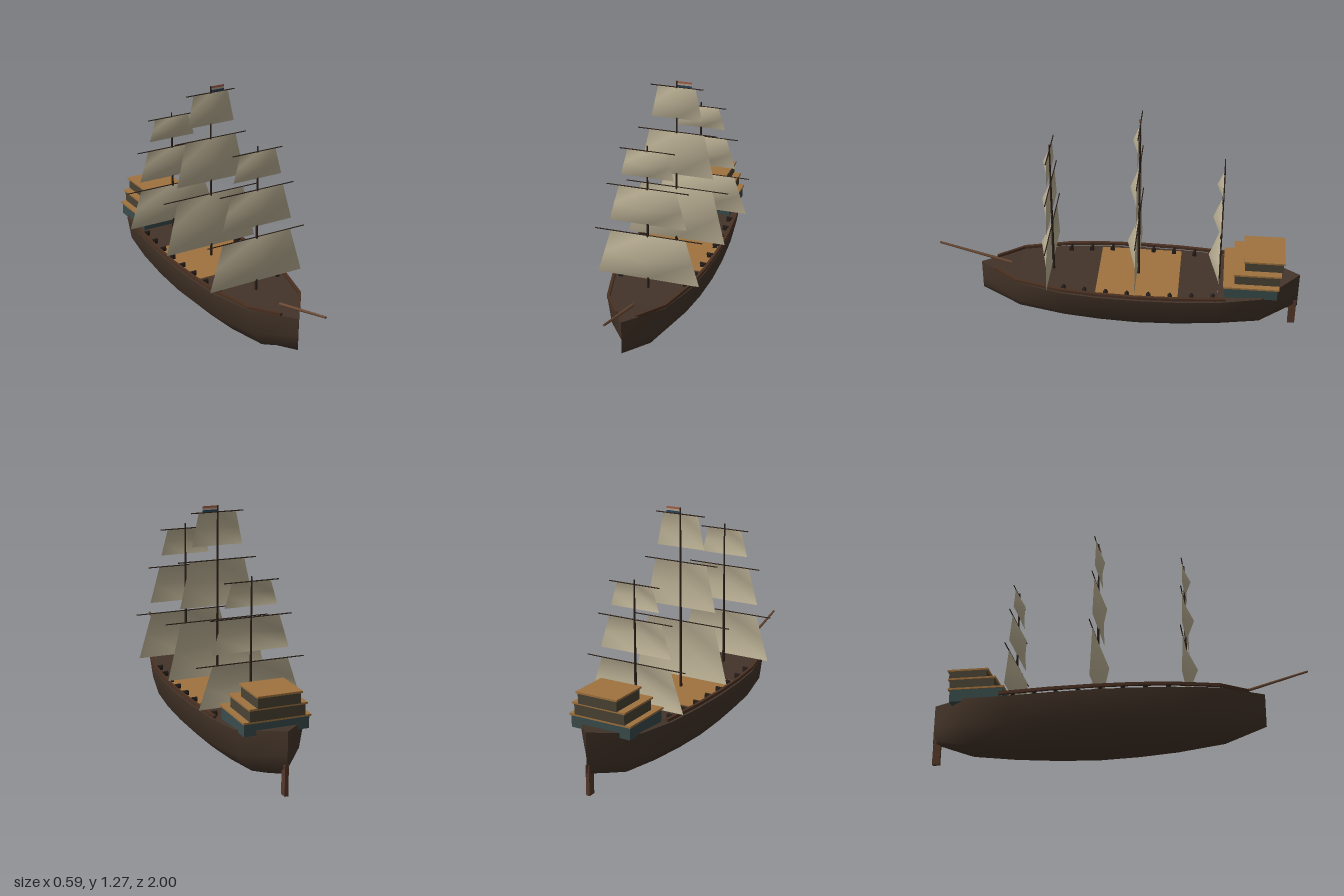
import * as THREE from 'three';

const mat = (color, extra = {}) => new THREE.MeshStandardMaterial({ color, ...extra });
const M = {
  hull: mat(0x46362a),
  deck: mat(0x43342a, { flatShading: true }),
  plank: mat(0xa0733f),
  rail: mat(0x4a3022, { flatShading: true }),
  spar: mat(0x2e221a),
  sprit: mat(0x6b4a35),
  rudder: mat(0x55382a),
  gun: mat(0x241d1a),
  teal: mat(0x3a4c4c),
  wall: mat(0x4a4334),
  sail: mat(0xbfb498, { side: THREE.DoubleSide }),
};

// hull stations from bow to stern: z, half width, sheer height, keel height
const STATIONS = [
  [0.77, 0, 0.31, 0.13], [0.55, 0.157, 0.297, 0.05], [0.3, 0.218, 0.291, 0.025],
  [0.1, 0.238, 0.29, 0.012], [-0.11, 0.245, 0.29, 0.005], [-0.33, 0.239, 0.29, 0.012],
  [-0.56, 0.22, 0.291, 0.028], [-0.79, 0.187, 0.305, 0.052], [-1, 0, 0.345, 0.13],
];

// interpolated half width and sheer height at z
function edgeAt(z) {
  const i = Math.max(1, STATIONS.findIndex((s) => s[0] <= z));
  const a = STATIONS[i - 1], b = STATIONS[i];
  const t = (a[0] - z) / (a[0] - b[0]);
  return [a[1] + (b[1] - a[1]) * t, a[2] + (b[2] - a[2]) * t];
}

// skin a series of equal-length cross-sections
function loft(sections) {
  const n = sections[0].length, index = [];
  for (let i = 0; i < sections.length - 1; i++) {
    for (let j = 0; j < n - 1; j++) {
      const a = i * n + j, b = a + 1, c = a + n, d = c + 1;
      index.push(a, b, c, b, d, c);
    }
  }
  const g = new THREE.BufferGeometry();
  g.setAttribute('position', new THREE.Float32BufferAttribute(sections.flat(2), 3));
  g.setIndex(index);
  g.computeVertexNormals();
  return g;
}

function add(parent, name, geometry, material, x = 0, y = 0, z = 0) {
  const m = new THREE.Mesh(geometry, material);
  m.name = name;
  m.position.set(x, y, z);
  parent.add(m);
  return m;
}

const box = (w, h, d) => new THREE.BoxGeometry(w, h, d);

// round spar between two points
function spar(parent, name, a, b, r0, r1, material) {
  const p = new THREE.Vector3(...a), q = new THREE.Vector3(...b);
  const dir = q.clone().sub(p);
  const m = add(parent, name, new THREE.CylinderGeometry(r1, r0, dir.length(), 8), material);
  m.position.copy(p).add(q).multiplyScalar(0.5);
  m.quaternion.setFromUnitVectors(new THREE.Vector3(0, 1, 0), dir.normalize());
}

// trapezoid sail hanging from y = 0, with its centre pushed forward
function sailGeometry(topHalf, bottomHalf, height, belly) {
  const g = new THREE.PlaneGeometry(2, 1, 2, 2);
  const p = g.attributes.position;
  for (let i = 0; i < p.count; i++) {
    const u = p.getX(i), t = 0.5 - p.getY(i);
    const half = topHalf + (bottomHalf - topHalf) * t;
    p.setXYZ(i, u * half, -t * height, belly * (1 - Math.abs(u)) * (1 - Math.abs(2 * t - 1)));
  }
  g.computeVertexNormals();
  return g;
}

function buildHull(ship) {
  const profile = [[1, 1], [0.87, 0.44], [0.49, 0.105], [0, 0], [-0.49, 0.105], [-0.87, 0.44], [-1, 1]];
  add(ship, 'hull', loft(STATIONS.map(([z, w, top, keel]) =>
    profile.map(([x, y]) => [x * w, keel + (top - keel) * y, z]))), M.hull);
  add(ship, 'deck', loft(STATIONS.map(([z, w, top]) => [[-w, top, z], [w, top, z]])), M.deck);
  add(ship, 'plankedDeck', box(0.44, 0.008, 0.45), M.plank, 0, 0.29, -0.115);
  add(ship, 'rudder', box(0.02, 0.16, 0.04), M.rudder, 0, 0.09, -0.975);

  // square rail following each edge of the deck, closed to a point at its ends
  const stops = [0.69, 0.69, 0.55, 0.3, 0.1, -0.11, -0.33, -0.56, -0.6, -0.6];
  for (const side of [1, -1]) {
    add(ship, side > 0 ? 'leftRail' : 'rightRail', loft(stops.map((z, i) => {
      const x = side * (edgeAt(z)[0] - 0.004);
      const r = i === 0 || i === stops.length - 1 ? 0 : 0.008;
      return [[1, 1], [1, -1], [-1, -1], [-1, 1], [1, 1]].map(([a, b]) => [x + a * r, 0.311 + b * r, z]);
    })), M.rail);
  }
}

function buildGuns(ship) {
  for (const side of [1, -1]) {
    for (let i = 0; i < 8; i++) {
      const z = 0.285 - i * 0.1165;
      const gun = new THREE.Group();
      gun.name = 'cannon';
      gun.position.set(side * (edgeAt(z)[0] - 0.03), 0.29, z);
      add(gun, 'carriage', box(0.02, 0.018, 0.024), M.gun, -side * 0.008, 0.01, 0);
      spar(gun, 'barrel', [-side * 0.02, 0.02, 0], [side * 0.026, 0.02, 0], 0.008, 0.006, M.gun);
      ship.add(gun);
    }
  }
}

function buildCabins(ship) {
  // half width, front z, back z, floor y, roof y, wall material
  const tiers = [
    [0.173, -0.59, -0.875, 0.295, 0.37, M.teal],
    [0.147, -0.643, -0.885, 0.37, 0.438, M.wall],
    [0.113, -0.695, -0.9, 0.438, 0.503, M.wall],
  ];
  for (const [w, z0, z1, y0, y1, material] of tiers) {
    const z = (z0 + z1) / 2, d = z0 - z1;
    add(ship, 'cabin', box(2 * w, y1 - y0 - 0.01, d), material, 0, (y0 + y1 - 0.01) / 2, z);
    add(ship, 'cabinRoof', box(2 * w + 0.014, 0.01, d + 0.016), M.plank, 0, y1 - 0.005, z);
  }
}

function buildRig(ship) {
  const base = 0.295;
  // yard height and sail drop as fractions of mast, yard half, sail top and bottom half, belly
  const sails = [
    [0.377, 0.316, 0.293, 0.205, 0.28, 0.06],
    [0.706, 0.252, 0.22, 0.154, 0.21, 0.047],
    [0.965, 0.18, 0.147, 0.104, 0.142, 0.034],
  ];
  for (const [name, z, top] of [['foreMast', 0.363, 1.1], ['mainMast', -0.112, 1.28], ['mizzenMast', -0.557, 1.0]]) {
    const group = new THREE.Group();
    group.name = name;
    group.position.z = z;
    const h = top - base;
    spar(group, 'mastPole', [0, base - 0.02, 0], [0, top, 0], 0.008, 0.004, M.spar);
    for (const [at, drop, yard, a, b, belly] of sails) {
      const y = base + at * h;
      spar(group, 'yard', [-yard, y, 0], [yard, y, 0], 0.003, 0.003, M.spar);
      add(group, 'sail', sailGeometry(a, b, drop * h, belly), M.sail, 0, y, 0.002);
    }
    ship.add(group);
  }
  spar(ship, 'bowsprit', [0, 0.315, 0.6], [0, 0.427, 0.998], 0.009, 0.006, M.sprit);

  // striped flag at the main masthead
  [0xa5604c, 0xb5a58c, 0x2a4560].forEach((color, i) => {
    add(ship, 'flagStripe', box(0.083, 0.0105, 0.002), mat(color), 0.0415, 1.2745 - i * 0.0105, -0.112);
  });
}

export function createModel() {
  const ship = new THREE.Group();
  ship.name = 'sailingShip';
  buildHull(ship);
  buildGuns(ship);
  buildCabins(ship);
  buildRig(ship);
  return ship;
}
